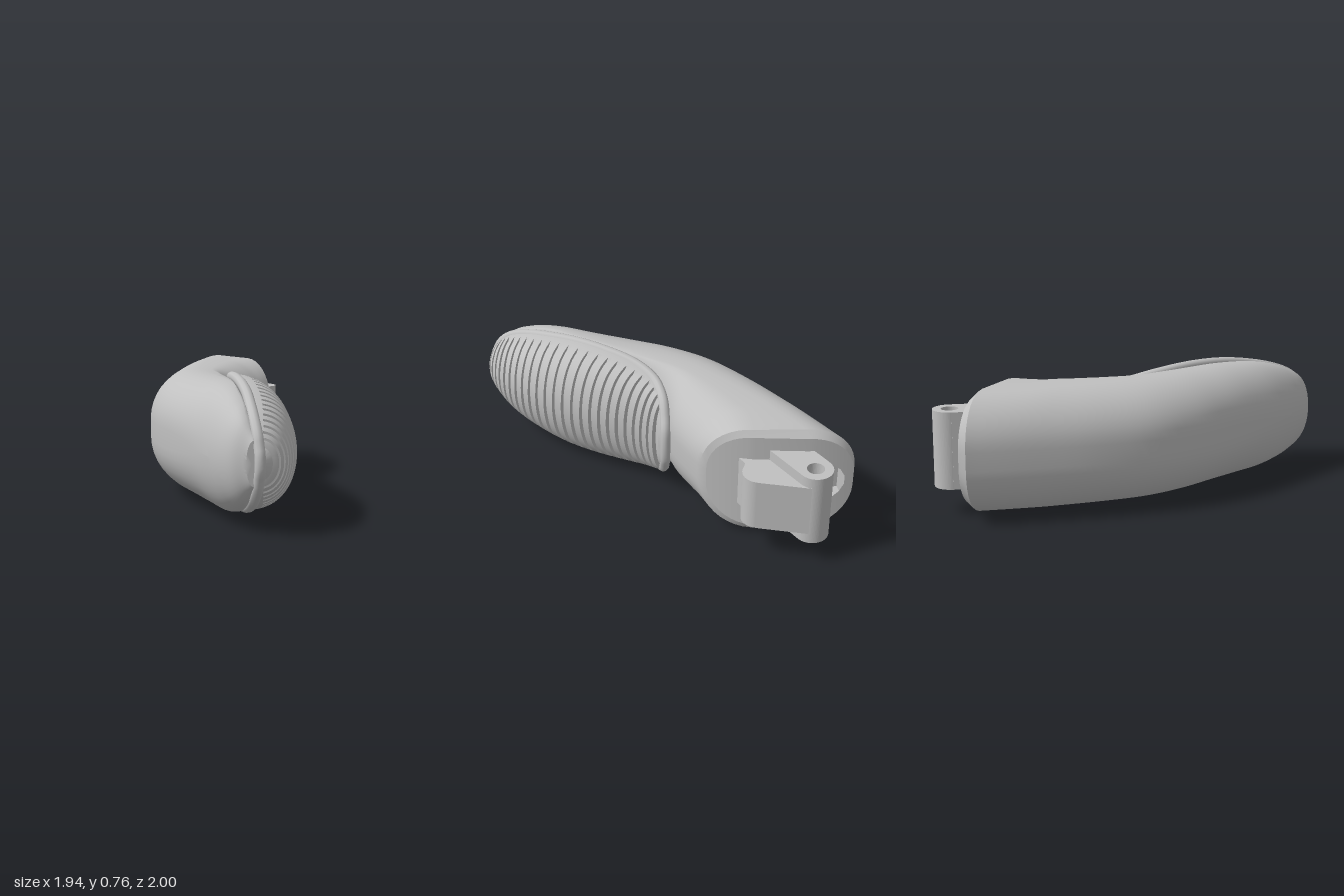
import * as THREE from 'three';
import { toCreasedNormals } from 'three/addons/utils/BufferGeometryUtils.js';

const MID = 0.38; // height of the symmetry plane
const V = (x, y, z) => new THREE.Vector3(x, y, z);

// Skin a list of equal-length point rows
function loft(rows, closed, skip = () => false) {
  const n = rows[0].length, pos = [], idx = [];
  rows.forEach(r => r.forEach(p => pos.push(p.x, p.y, p.z)));
  for (let i = 0; i < rows.length - 1; i++) {
    for (let j = 0; j < (closed ? n : n - 1); j++) {
      if (skip(i, j)) continue;
      const k = (j + 1) % n;
      const a = i * n + j, b = i * n + k, c = b + n, d = a + n;
      idx.push(a, b, c, a, c, d);
    }
  }
  const g = new THREE.BufferGeometry();
  g.setAttribute('position', new THREE.Float32BufferAttribute(pos, 3));
  g.setIndex(idx);
  return toCreasedNormals(g, 0.6);
}

// Smooth interpolation through rows of three numbers
const spline = rows => new THREE.CatmullRomCurve3(rows.map(r => V(...r)));

function collapse(ring) {
  const c = ring.reduce((s, p) => s.add(p), V(0, 0, 0)).divideScalar(ring.length);
  return ring.map(() => c.clone());
}

// Rounded section standing on the line from outer point o to inner point i
const S = 10;
function section(o, i, h, ro, ri, ry, bulge) {
  const dx = i.x - o.x, dz = i.z - o.z, w = Math.hypot(dx, dz);
  ri = Math.min(ri, w * 0.5);
  ro = Math.min(ro, w - ri);
  ry = Math.min(ry, h);
  const ring = [];
  for (let q = 0; q < 4; q++) {
    const inner = q < 2, r = inner ? ri : ro;
    const cx = inner ? w - ri : ro;
    const cy = (q === 1 || q === 2) ? h - ry : ry - h;
    for (let k = 0; k <= S; k++) {
      const a = (q - 1 + k / S) * Math.PI / 2;
      const u = (cx + r * Math.cos(a)) / w;
      const b = 4 * u * (1 - u) * bulge / w;
      ring.push(V(o.x + dx * u + dz * b, MID + cy + ry * Math.sin(a), o.z + dz * u - dx * b));
    }
  }
  return ring;
}

// Vertical extrusion of a plan outline between two heights
function plate(shape, y0, y1) {
  return new THREE.ExtrudeGeometry(shape, { depth: y1 - y0, bevelEnabled: false, curveSegments: 20 })
    .rotateX(Math.PI / 2).translate(0, y1, 0);
}

export function createModel() {
  const group = new THREE.Group();
  const grey = new THREE.MeshStandardMaterial({ color: 0xc0c0c0 });
  grey.name = 'plain grey';
  const add = (name, geometry) => {
    const m = new THREE.Mesh(geometry, grey);
    m.name = name;
    group.add(m);
  };

  // Shell: outer line (x, half height, z), inner line (x, 0, z), corner radii
  const outer = spline([
    [-0.97, 0.355, -0.7], [-0.8, 0.355, -0.36], [-0.61, 0.355, 0], [-0.42, 0.355, 0.28],
    [-0.2, 0.355, 0.48], [0.03, 0.355, 0.625], [0.27, 0.355, 0.76], [0.5, 0.335, 0.895],
    [0.66, 0.285, 0.975], [0.76, 0.22, 1.0], [0.85, 0.12, 0.985]]);
  const inner = spline([
    [-0.1, 0, -0.52], [-0.045, 0, -0.37], [0.0, 0, -0.2], [0.01, 0, -0.02],
    [0.08, 0, 0.13], [0.21, 0, 0.28], [0.37, 0, 0.44], [0.56, 0, 0.63],
    [0.7, 0, 0.77], [0.8, 0, 0.87], [0.885, 0, 0.95]]);
  const radii = spline([ // outer, inner, vertical
    [0.3, 0.3, 0.3], [0.3, 0.3, 0.3], [0.3, 0.25, 0.3], [0.3, 0.15, 0.3],
    [0.3, 0.08, 0.3], [0.3, 0.05, 0.3], [0.28, 0.04, 0.32], [0.22, 0.04, 0.33],
    [0.17, 0.03, 0.3], [0.1, 0.02, 0.25], [0.04, 0.01, 0.14]]);
  const lip = section(V(-0.95, 0, -0.75), V(-0.13, 0, -0.545), 0.315, 0.27, 0.27, 0.27, 0.065);
  const rings = [lip];
  for (let k = 0; k <= 50; k++) {
    const t = k / 50, o = outer.getPoint(t), r = radii.getPoint(t);
    rings.push(section(o, inner.getPoint(t), o.y, r.x, r.y, r.z, 0.07 * Math.max(0, 1 - 10 * t)));
  }
  rings.push(collapse(rings[rings.length - 1]));
  add('fingertipShell', loft(rings, true));

  // Bowed end face with a round-sided slot next to the hinge
  const columns = lip.slice(S + 1, 3 * S + 3).map(p => {
    const h = p.y - MID;
    const m = Math.min(h, 0.14 * Math.sqrt(Math.max(0, 1 - ((p.x + 0.72) / 0.18) ** 2)));
    return [h, m, -m, -h].map(y => V(p.x, MID + y, p.z));
  });
  const inSlot = c => c[0].x > -0.91 && c[0].x < -0.72;
  add('endFace', loft(columns, false, (i, j) => j === 1 && inSlot(columns[i]) && inSlot(columns[i + 1])));
  const pocket = new THREE.BoxGeometry(0.18, 0.28, 0.12).scale(-1, 1, 1).translate(-0.81, MID, -0.69);
  pocket.computeVertexNormals();
  add('slotPocket', pocket);

  // Grip pad: seam (x, half height, z) and crown (x, 0, z)
  const seam = spline([
    [0.02, 0.12, -0.215], [0.01, 0.265, -0.1], [0.03, 0.325, 0.05], [0.12, 0.36, 0.2],
    [0.26, 0.375, 0.345], [0.42, 0.37, 0.5], [0.57, 0.34, 0.645], [0.7, 0.295, 0.78],
    [0.8, 0.235, 0.88], [0.865, 0.155, 0.935], [0.895, 0.06, 0.955]]);
  const crown = spline([
    [0.05, 0, -0.21], [0.105, 0, -0.145], [0.205, 0, -0.05], [0.34, 0, 0.05],
    [0.48, 0, 0.155], [0.625, 0, 0.275], [0.755, 0, 0.415], [0.86, 0, 0.55],
    [0.935, 0, 0.7], [0.97, 0, 0.83], [0.935, 0, 0.935]]);
  // One arch across the pad; grooves sink it except along the smooth border
  const arch = (t, sunk) => {
    const b = seam.getPoint(t), c = crown.getPoint(t);
    const len = Math.hypot(c.x - b.x, c.z - b.z);
    return Array.from({ length: 33 }, (_, k) => {
      const a = (k / 32 - 0.5) * Math.PI;
      const u = Math.pow(Math.max(0, Math.cos(a)), 0.75);
      const cut = u > 0.3 ? sunk : 0;
      const d = Math.max(0, u - cut / len * u);
      const h = (b.y - 0.008) - cut * 0.6;
      return V(b.x + (c.x - b.x) * d, MID + h * Math.sin(a), b.z + (c.z - b.z) * d);
    });
  };
  const pad = [collapse(arch(0, 0)), arch(0, 0), arch(0.05, 0)];
  const RIBS = 25;
  for (let k = 0; k < RIBS; k++) {
    const a = 0.1 + 0.86 * k / RIBS, b = a + 0.86 * 0.62 / RIBS;
    pad.push(arch(a, 0.028), arch(a, 0), arch(b, 0), arch(b, 0.028));
  }
  pad.push(arch(0.96, 0.028), arch(0.96, 0), arch(1, 0), collapse(arch(1, 0)));
  add('ribbedPad', loft(pad, false));

  // Raised rim around the pad
  const side = sign => Array.from({ length: 21 }, (_, k) => {
    const b = seam.getPoint(k / 20), c = crown.getPoint(k / 20);
    const out = V(c.x - b.x, 0, c.z - b.z).setLength(0.018);
    return V(b.x, MID + sign * (b.y - 0.024), b.z).add(out);
  });
  const loop = new THREE.CatmullRomCurve3([...side(1), ...side(-1).reverse()], true);
  add('padRim', new THREE.TubeGeometry(loop, 140, 0.03, 10, true));

  // Hinge: tall lug with a recessed pin, and the lower knuckle block beside it
  const lug = new THREE.Shape();
  lug.moveTo(-0.47, -0.66);
  lug.lineTo(-0.67, -0.66);
  lug.lineTo(-0.755, -0.855);
  lug.absarc(-0.665, -0.9, 0.1, 2.68, 5.85, false);
  lug.lineTo(-0.46, -0.68);
  const pin = new THREE.Path();
  pin.absarc(-0.665, -0.9, 0.05, 0, Math.PI * 2, true);
  lug.holes.push(pin);
  add('hingeLug', plate(lug, 0.155, 0.61));
  add('hingePin', new THREE.CylinderGeometry(0.05, 0.05, 0.3, 24).translate(-0.665, MID, -0.9));

  const block = new THREE.Shape();
  block.moveTo(-0.6, -0.64);
  block.lineTo(-0.62, -0.99);
  block.lineTo(-0.34, -0.875);
  block.absarc(-0.375, -0.785, 0.095, -1.2, 0.6, false);
  block.lineTo(-0.32, -0.69);
  block.lineTo(-0.285, -0.6);
  add('knuckleBlock', plate(block, 0.22, 0.545));

  return group;
}
